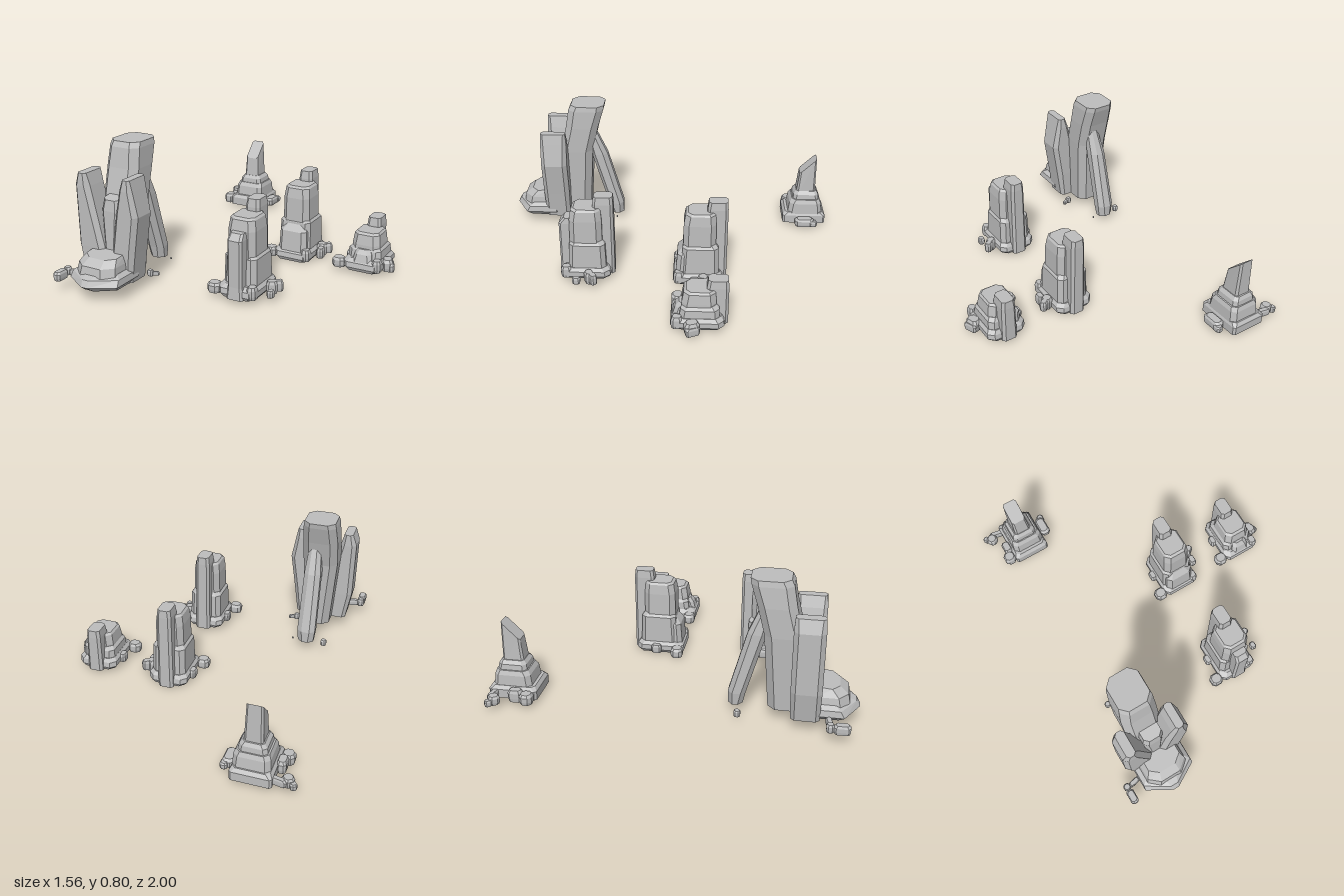
import * as THREE from 'three';

const stone = new THREE.MeshStandardMaterial({ color: 0xbdbdbd, flatShading: true });
stone.name = 'grey stone';

// Chamfered rectangle ring: [y, x0, x1, z0, z1, chamfer or [cx, cz], rise of the back edge]
function ring([y, x0, x1, z0, z1, c, rise = 0]) {
  const [cx, cz] = Array.isArray(c) ? c : [c, c];
  return [
    [x1, z1 - cz], [x1, z0 + cz], [x1 - cx, z0], [x0 + cx, z0],
    [x0, z0 + cz], [x0, z1 - cz], [x0 + cx, z1], [x1 - cx, z1],
  ].map(([x, z]) => [x, y + rise * (z1 - z) / (z1 - z0), z]);
}

// Rock lofted through rings from bottom to top, with both ends closed
function rock(parent, name, levels) {
  const rings = levels.map(ring), pos = [], n = 8;
  const tri = (a, b, c) => pos.push(...a, ...b, ...c);
  for (let k = 0; k < rings.length - 1; k++) {
    const lo = rings[k], hi = rings[k + 1];
    for (let i = 0; i < n; i++) {
      const j = (i + 1) % n;
      tri(lo[i], lo[j], hi[j]);
      tri(lo[i], hi[j], hi[i]);
    }
  }
  const bottom = rings[0], top = rings[rings.length - 1];
  for (let i = 1; i < n - 1; i++) {
    tri(bottom[0], bottom[i + 1], bottom[i]);
    tri(top[0], top[i], top[i + 1]);
  }
  const geo = new THREE.BufferGeometry();
  geo.setAttribute('position', new THREE.Float32BufferAttribute(pos, 3));
  geo.computeVertexNormals();
  const mesh = new THREE.Mesh(geo, stone);
  mesh.name = name;
  parent.add(mesh);
  return mesh;
}

// Small loose stone standing on y
function pebble(parent, x, y, z, w, h, d, turn = 0) {
  const a = w / 2, b = d / 2, c = Math.min(w, d) * 0.25;
  const m = rock(parent, 'pebble', [
    [0, -a * 0.9, a * 0.9, -b * 0.9, b * 0.9, c],
    [h * 0.3, -a, a, -b, b, c],
    [h * 0.75, -a, a, -b, b, c],
    [h, -a * 0.75, a * 0.75, -b * 0.75, b * 0.75, c * 0.8],
  ]);
  m.position.set(x, y, z);
  m.rotation.y = turn;
}

function cluster(parent, name, x = 0, y = 0, z = 0) {
  const g = new THREE.Group();
  g.name = name;
  g.position.set(x, y, z);
  parent.add(g);
  return g;
}

// Stepped tower with a tall back pillar; main, back and shoulder are heights
function tower(parent, name, x, y, z, main, back, shoulder) {
  const g = cluster(parent, name, x, y, z);
  rock(g, 'base', [
    [0, -0.1, 0.1, -0.135, 0.135, 0.03],
    [0.02, -0.115, 0.115, -0.145, 0.145, 0.03],
    [0.05, -0.115, 0.115, -0.14, 0.14, 0.03],
    [0.07, -0.1, 0.1, -0.125, 0.115, 0.03],
  ]);
  rock(g, 'shoulder', [
    [0.05, -0.1, 0.1, -0.12, 0.1, 0.025],
    [shoulder - 0.02, -0.097, 0.095, -0.115, 0.09, 0.025],
    [shoulder, -0.08, 0.08, -0.1, 0.075, 0.025],
  ]);
  rock(g, 'mainPillar', [
    [0.05, -0.088, 0.088, -0.1, 0.09, 0.03],
    [main - 0.07, -0.082, 0.082, -0.1, 0.085, 0.03],
    [main - 0.012, -0.075, 0.075, -0.095, 0.075, 0.03],
    [main, -0.065, 0.065, -0.085, 0.06, 0.025],
  ]);
  rock(g, 'backPillar', [
    [0, -0.045, 0.045, -0.165, -0.045, 0.015],
    [back - 0.045, -0.042, 0.042, -0.165, -0.048, 0.015],
    [back, -0.037, 0.037, -0.162, -0.055, 0.015],
  ]);
  // Loose stones around the foot
  pebble(g, -0.14, 0.005, 0.11, 0.075, 0.055, 0.07);
  pebble(g, -0.12, 0.01, -0.02, 0.04, 0.05, 0.06);
  pebble(g, 0.09, 0.01, 0.11, 0.05, 0.07, 0.06);
  return g;
}

export function createModel() {
  const model = new THREE.Group();
  model.name = 'rockFormations';

  // Great formation: tall pillar, two wings, leaning slab and front base
  const great = cluster(model, 'greatFormation');
  rock(great, 'tallPillar', [
    [0.07, -0.6, -0.44, 0.52, 0.72, 0.04],
    [0.5, -0.63, -0.42, 0.49, 0.69, 0.04],
    [0.66, -0.628, -0.418, 0.45, 0.65, 0.04],
    [0.77, -0.618, -0.422, 0.415, 0.63, 0.04],
    [0.8, -0.612, -0.427, 0.41, 0.615, 0.04],
  ]);
  rock(great, 'rightWing', [
    [0.07, -0.685, -0.52, 0.645, 0.795, 0.02],
    [0.24, -0.715, -0.545, 0.64, 0.8, 0.025],
    [0.58, -0.717, -0.62, 0.64, 0.8, 0.025],
    [0.65, -0.692, -0.638, 0.645, 0.795, 0.015],
  ]);
  rock(great, 'leftWing', [
    [0.07, -0.52, -0.37, 0.645, 0.795, 0.02],
    [0.24, -0.49, -0.345, 0.64, 0.8, 0.025],
    [0.45, -0.455, -0.312, 0.64, 0.8, 0.025],
    [0.59, -0.42, -0.338, 0.64, 0.8, 0.02],
    [0.65, -0.397, -0.35, 0.645, 0.795, 0.012],
  ]);
  rock(great, 'middlePillar', [
    [0.1, -0.55, -0.48, 0.65, 0.78, 0.02],
    [0.45, -0.575, -0.45, 0.65, 0.765, 0.025],
    [0.51, -0.565, -0.455, 0.66, 0.755, 0.025, 0.015],
  ]);
  rock(great, 'leaningSlab', [
    [0.05, -0.55, -0.455, 0.305, 0.385, [0.03, 0.025]],
    [0.12, -0.557, -0.448, 0.305, 0.4, [0.03, 0.025]],
    [0.47, -0.55, -0.45, 0.4, 0.5, [0.03, 0.025]],
    [0.62, -0.53, -0.46, 0.465, 0.53, 0.02],
  ]);
  rock(great, 'frontBase', [
    [0.07, -0.645, -0.385, 0.66, 0.96, [0.1, 0.07]],
    [0.1, -0.675, -0.36, 0.65, 1.0, [0.14, 0.08]],
    [0.135, -0.67, -0.365, 0.65, 0.98, [0.13, 0.08]],
    [0.155, -0.64, -0.39, 0.66, 0.93, [0.09, 0.06]],
  ]);
  rock(great, 'frontStep', [
    [0.14, -0.645, -0.39, 0.72, 0.945, [0.06, 0.05]],
    [0.19, -0.635, -0.395, 0.72, 0.935, [0.06, 0.05]],
    [0.225, -0.61, -0.41, 0.72, 0.89, [0.05, 0.04], 0.015],
  ]);
  pebble(great, -0.755, 0.065, 0.91, 0.045, 0.05, 0.085);
  pebble(great, -0.755, 0.07, 0.85, 0.04, 0.045, 0.04);
  pebble(great, -0.705, 0.07, 0.845, 0.07, 0.035, 0.03, 0.2);
  pebble(great, -0.385, 0.04, 0.595, 0.035, 0.035, 0.03);
  pebble(great, -0.355, 0.045, 0.585, 0.04, 0.02, 0.02, 0.5);
  pebble(great, -0.61, 0.02, 0.365, 0.035, 0.035, 0.035);
  pebble(great, -0.42, 0.04, 0.345, 0.01, 0.01, 0.008);

  // Front tower with a slim pillar before it
  const front = tower(model, 'frontTower', 0.165, 0.025, 0.465, 0.435, 0.5, 0.235);
  rock(front, 'frontPillar', [
    [0, -0.048, 0.052, 0.06, 0.155, 0.012],
    [0.07, -0.042, 0.045, 0.06, 0.15, 0.012],
    [0.33, -0.042, 0.045, 0.06, 0.148, 0.012],
    [0.365, -0.038, 0.04, 0.06, 0.12, 0.012],
  ]);
  pebble(front, 0.135, 0, -0.025, 0.06, 0.07, 0.05, 0.5);
  pebble(front, 0.163, 0.01, -0.05, 0.05, 0.06, 0.04, 0.6);
  pebble(front, 0.165, 0.01, 0.045, 0.035, 0.04, 0.045);

  // Rear tower with a broad step before it
  const rear = tower(model, 'rearTower', 0.165, 0, -0.185, 0.445, 0.505, 0.25);
  rock(rear, 'frontStep', [
    [0.05, -0.09, 0.09, 0, 0.13, 0.025],
    [0.18, -0.085, 0.085, 0, 0.12, 0.025],
    [0.22, -0.065, 0.065, 0, 0.09, 0.025],
  ]);
  pebble(rear, 0.13, 0.01, -0.03, 0.06, 0.07, 0.06, 0.4);
  pebble(rear, 0.162, 0.02, -0.05, 0.05, 0.06, 0.04, 0.6);
  pebble(rear, 0.145, 0.01, 0.02, 0.04, 0.06, 0.06);

  // Low stump
  const stump = tower(model, 'lowStump', 0.61, 0.02, -0.185, 0.215, 0.267, 0.135);
  rock(stump, 'frontStep', [
    [0.05, -0.06, 0.06, 0.02, 0.135, 0.02],
    [0.1, -0.05, 0.05, 0.02, 0.12, 0.02],
    [0.125, -0.04, 0.04, 0.02, 0.1, 0.02],
  ]);
  pebble(stump, 0.125, 0, 0.03, 0.06, 0.07, 0.08, 0.3);
  pebble(stump, 0.145, 0, 0.025, 0.035, 0.05, 0.08, 0.4);

  // Spire on stepped tiers
  const spire = cluster(model, 'spireFormation', -0.53, 0.02, -0.87);
  rock(spire, 'base', [
    [0, -0.115, 0.105, -0.13, 0.14, 0.012],
    [0.05, -0.115, 0.105, -0.13, 0.14, 0.012],
    [0.07, -0.1, 0.095, -0.115, 0.125, 0.02],
  ]);
  rock(spire, 'lowerTier', [
    [0.05, -0.1, 0.1, -0.11, 0.11, 0.025],
    [0.13, -0.095, 0.095, -0.1, 0.1, 0.025],
    [0.155, -0.085, 0.085, -0.09, 0.085, 0.025],
  ]);
  rock(spire, 'upperTier', [
    [0.14, -0.078, 0.078, -0.085, 0.08, 0.02],
    [0.185, -0.072, 0.072, -0.08, 0.075, 0.02],
    [0.205, -0.055, 0.055, -0.068, 0.06, 0.015],
  ]);
  rock(spire, 'spire', [
    [0.18, -0.05, 0.052, -0.06, 0.06, 0.012],
    [0.325, -0.043, 0.043, -0.056, 0.045, 0.01, 0.1],
  ]);
  pebble(spire, -0.145, 0, 0.095, 0.07, 0.06, 0.07);
  pebble(spire, -0.13, 0, 0.03, 0.05, 0.07, 0.08);
  pebble(spire, 0.135, 0, 0.005, 0.06, 0.05, 0.12);
  pebble(spire, 0.15, 0.005, -0.05, 0.04, 0.035, 0.05);
  pebble(spire, -0.14, 0.01, -0.095, 0.09, 0.04, 0.03, -0.2);
  pebble(spire, -0.185, 0.005, -0.075, 0.06, 0.05, 0.06, 0.6);
  pebble(spire, -0.215, 0.005, -0.095, 0.035, 0.035, 0.04, 0.6);
  return model;
}
